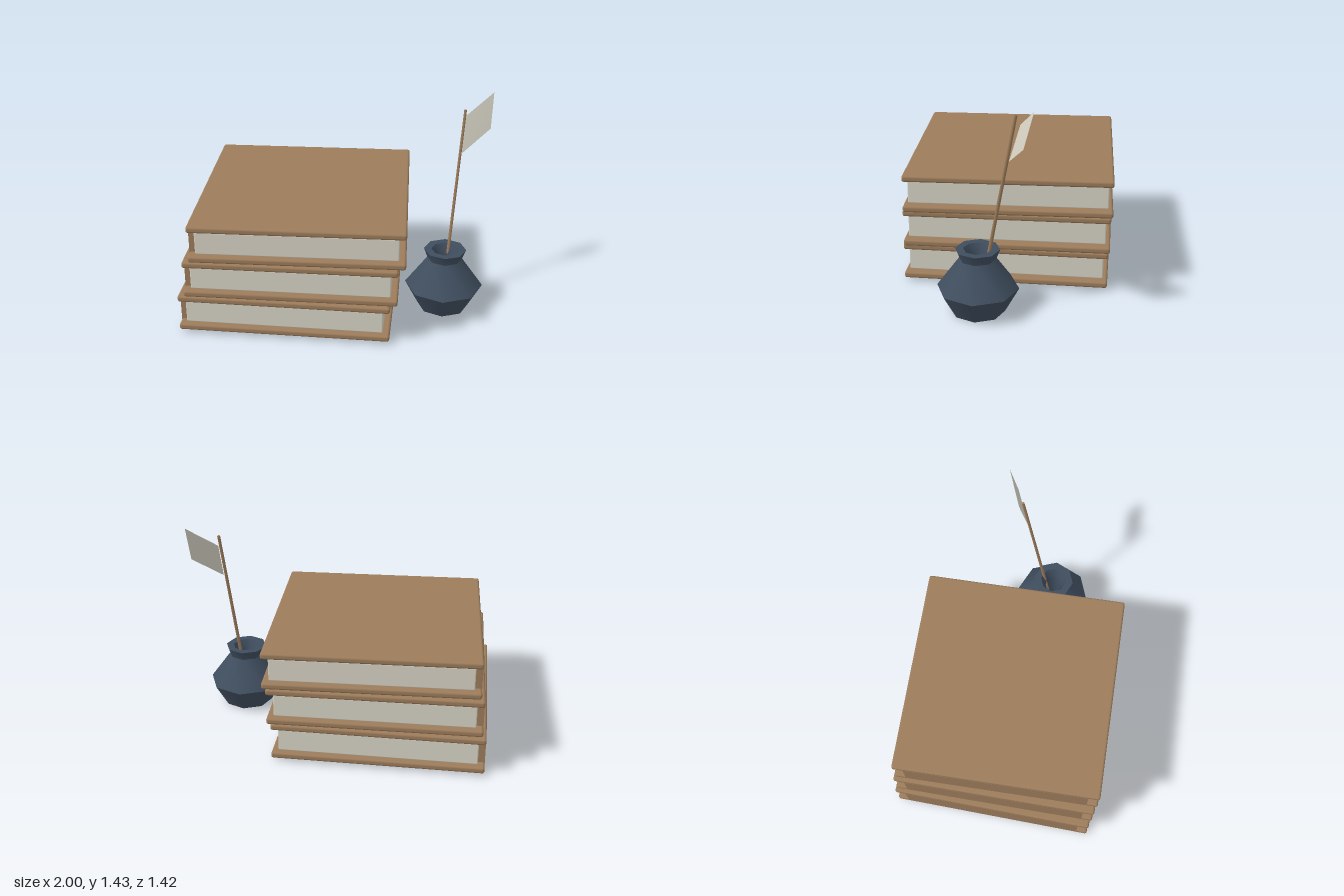
import * as THREE from 'three';
import { toCreasedNormals } from 'three/addons/utils/BufferGeometryUtils.js';
import { RoundedBoxGeometry } from 'three/addons/geometries/RoundedBoxGeometry.js';

const mat = (name, color, side = THREE.FrontSide) => {
  const m = new THREE.MeshStandardMaterial({ color, side });
  m.name = name;
  return m;
};

function add(parent, name, geometry, material, x = 0, y = 0, z = 0) {
  const mesh = new THREE.Mesh(geometry, material);
  mesh.name = name;
  mesh.position.set(x, y, z);
  parent.add(mesh);
  return mesh;
}

export function createModel() {
  const leather = mat('leather brown', 0x9c7c5b);
  const paper = mat('paper cream', 0xd8d4c6, THREE.DoubleSide);
  const glass = mat('ink blue', 0x3f4d5e);

  const model = new THREE.Group();
  model.name = 'booksAndInkwell';

  // Stack of three books, each turned a little further
  const coverGeo = new RoundedBoxGeometry(1.39, 0.043, 1.37, 2, 0.015);
  const pagesGeo = new RoundedBoxGeometry(1.3, 0.156, 1.31, 1, 0.008);
  const spineGeo = new THREE.BoxGeometry(0.11, 0.19, 1.22);
  for (let i = 0; i < 3; i++) {
    const book = new THREE.Group();
    book.name = 'book' + (i + 1);
    book.position.set(-0.305 + 0.035 * i, 0.02 + 0.2625 * i, 0);
    book.rotation.y = 0.0183 * i;
    add(book, 'bottomCover', coverGeo, leather, 0, 0.0215);
    add(book, 'topCover', coverGeo, leather, 0, 0.2335);
    add(book, 'pages', pagesGeo, paper, 0, 0.1275);
    // Spine stands just proud of the page block
    add(book, 'spine', spineGeo, leather, -0.64, 0.1275);
    model.add(book);
  }

  // Eight-sided inkwell with a flared lip and a hollow neck
  const profile = [
    [0, 0], [0.173, 0], [0.264, 0.165], [0.118, 0.365], [0.143, 0.43],
    [0.092, 0.43], [0.06, 0.36], [0.06, 0.06], [0, 0.06],
  ].map(([r, y]) => new THREE.Vector2(r, y));
  const inkwellGeo = toCreasedNormals(new THREE.LatheGeometry(profile, 8), 0.8);
  add(model, 'inkwell', inkwellGeo, glass, 0.725, 0, 0.128);

  // Quill shaft leaning out of the inkwell
  const foot = new THREE.Vector3(0.724, 0.06, 0.12);
  const tip = new THREE.Vector3(0.814, 1.345, -0.122);
  const axis = tip.clone().sub(foot);
  const shaft = add(model, 'quillShaft',
    new THREE.CylinderGeometry(0.01, 0.012, axis.length(), 6), leather);
  shaft.position.copy(foot).add(tip).multiplyScalar(0.5);
  shaft.quaternion.setFromUnitVectors(new THREE.Vector3(0, 1, 0), axis.normalize());

  // Single slanted feather vane
  const vane = new THREE.BufferGeometry();
  vane.setAttribute('position', new THREE.Float32BufferAttribute([
    0.805, 1.05, -0.08,
    0.99, 1.195, -0.185,
    1.0, 1.43, -0.247,
    0.813, 1.285, -0.148,
  ], 3));
  vane.setIndex([0, 1, 2, 0, 2, 3]);
  vane.computeVertexNormals();
  add(model, 'quillVane', vane, paper);

  return model;
}
